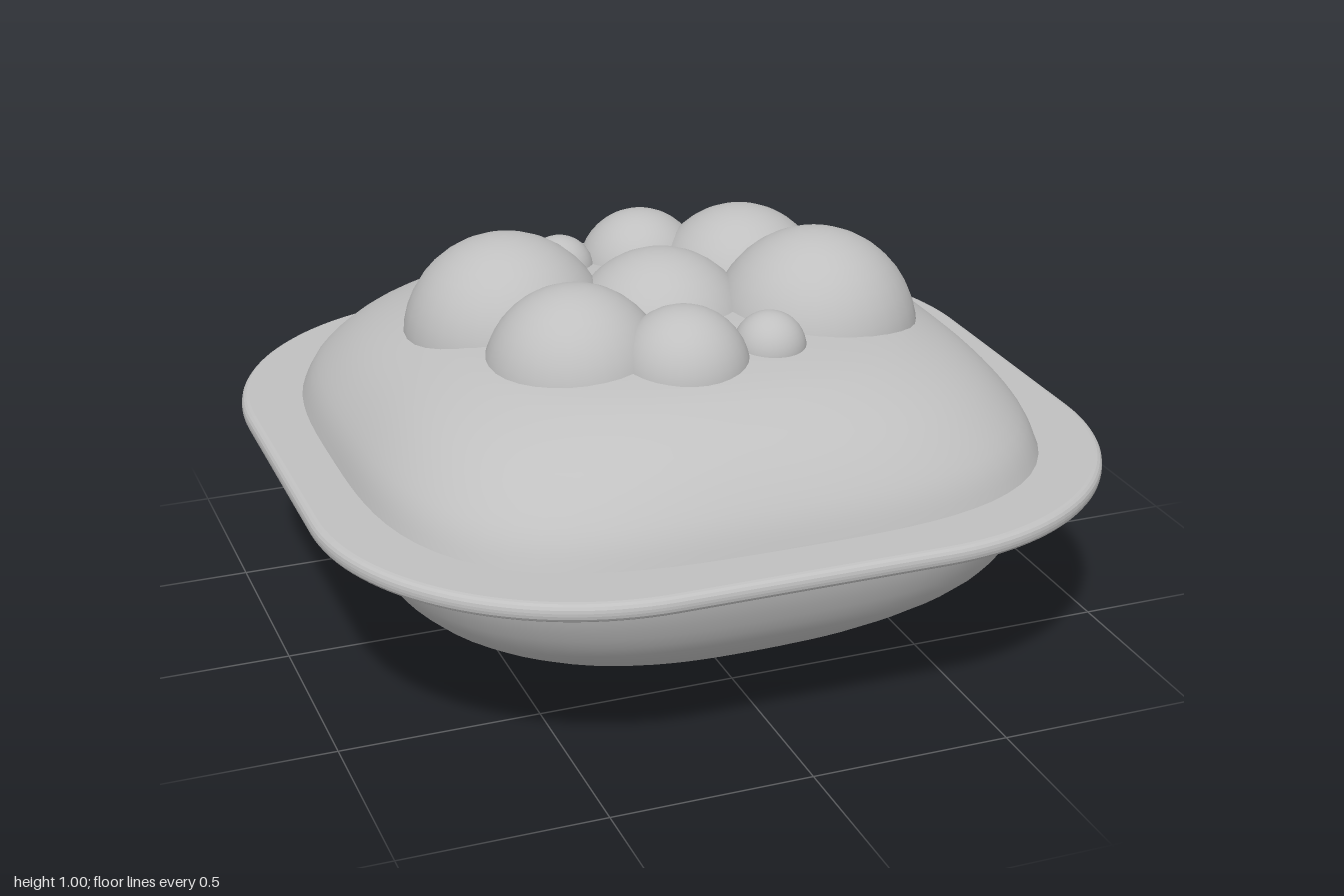
import * as THREE from 'three';
import { mergeVertices } from 'three/addons/utils/BufferGeometryUtils.js';

const grey = new THREE.MeshStandardMaterial({ color: 0xc0c0c0 });
grey.name = 'grey';

function add(group, name, geometry) {
  const mesh = new THREE.Mesh(geometry, grey);
  mesh.name = name;
  group.add(mesh);
  return mesh;
}

// Puffy cushion: a lathe whose rounds become squarer towards the equator
function bodyGeometry() {
  const profile = [
    [0, 0], [0.28, 0.025], [0.55, 0.1], [0.76, 0.235], [0.84, 0.36], [0.868, 0.48],
    [0.862, 0.53], [0.825, 0.61], [0.74, 0.7], [0.63, 0.765], [0.5, 0.805], [0.25, 0.83], [0, 0.838],
  ].map(([x, y]) => new THREE.Vector2(x, y));
  const points = new THREE.SplineCurve(profile).getPoints(48);
  points.forEach((p) => { p.x = Math.max(0, p.x); });
  const lathe = new THREE.LatheGeometry(points, 96);
  const pos = lathe.attributes.position;
  for (let i = 0; i < pos.count; i++) {
    const x = pos.getX(i), z = pos.getZ(i), r = Math.hypot(x, z);
    if (r < 1e-5) { pos.setXYZ(i, 0, pos.getY(i), 0); continue; }
    const n = 2.1 + 1.1 * (r / 0.87) ** 2;
    const k = (Math.abs(x / r) ** n + Math.abs(z / r) ** n) ** (-1 / n);
    pos.setXYZ(i, x * k, pos.getY(i), z * k);
  }
  lathe.deleteAttribute('uv');
  lathe.deleteAttribute('normal');
  const geometry = mergeVertices(lathe, 1e-5);
  geometry.computeVertexNormals();
  return geometry;
}

// Flat rounded-square plate with a soft edge
function rimGeometry() {
  const bevel = 0.02, h = 1 - bevel, r = 0.65, c = h - r;
  const shape = new THREE.Shape();
  shape.absarc(c, c, r, 0, Math.PI / 2);
  shape.absarc(-c, c, r, Math.PI / 2, Math.PI);
  shape.absarc(-c, -c, r, Math.PI, Math.PI * 1.5);
  shape.absarc(c, -c, r, Math.PI * 1.5, Math.PI * 2);
  shape.closePath();
  const geometry = new THREE.ExtrudeGeometry(shape, {
    depth: 0.007, bevelSize: bevel, bevelThickness: bevel, bevelSegments: 4, curveSegments: 16,
  });
  return geometry.rotateX(-Math.PI / 2).translate(0, 0.498, 0);
}

export function createModel() {
  const model = new THREE.Group();
  model.name = 'bubbleCushion';
  add(model, 'body', bodyGeometry());
  add(model, 'rim', rimGeometry());

  // Bubble cluster: each outer bubble is repeated half a turn around
  const bubbles = new THREE.Group();
  bubbles.name = 'bubbles';
  model.add(bubbles);
  const bubble = (name, x, y, z, r) =>
    add(bubbles, name, new THREE.SphereGeometry(r, 32, 20)).position.set(x, y, z);
  bubble('centreBubble', 0, 0.715, 0, 0.24);
  const outer = [
    ['largeBubble', -0.37, 0.74, -0.115, 0.262],
    ['mediumBubble', -0.3, 0.745, 0.21, 0.225],
    ['smallBubble', -0.075, 0.777, 0.355, 0.163],
    ['tinyBubble', 0.15, 0.807, 0.35, 0.09],
  ];
  for (const [name, x, y, z, r] of outer) {
    bubble(name + 'A', x, y, z, r);
    bubble(name + 'B', -x, y, -z, r);
  }
  return model;
}
